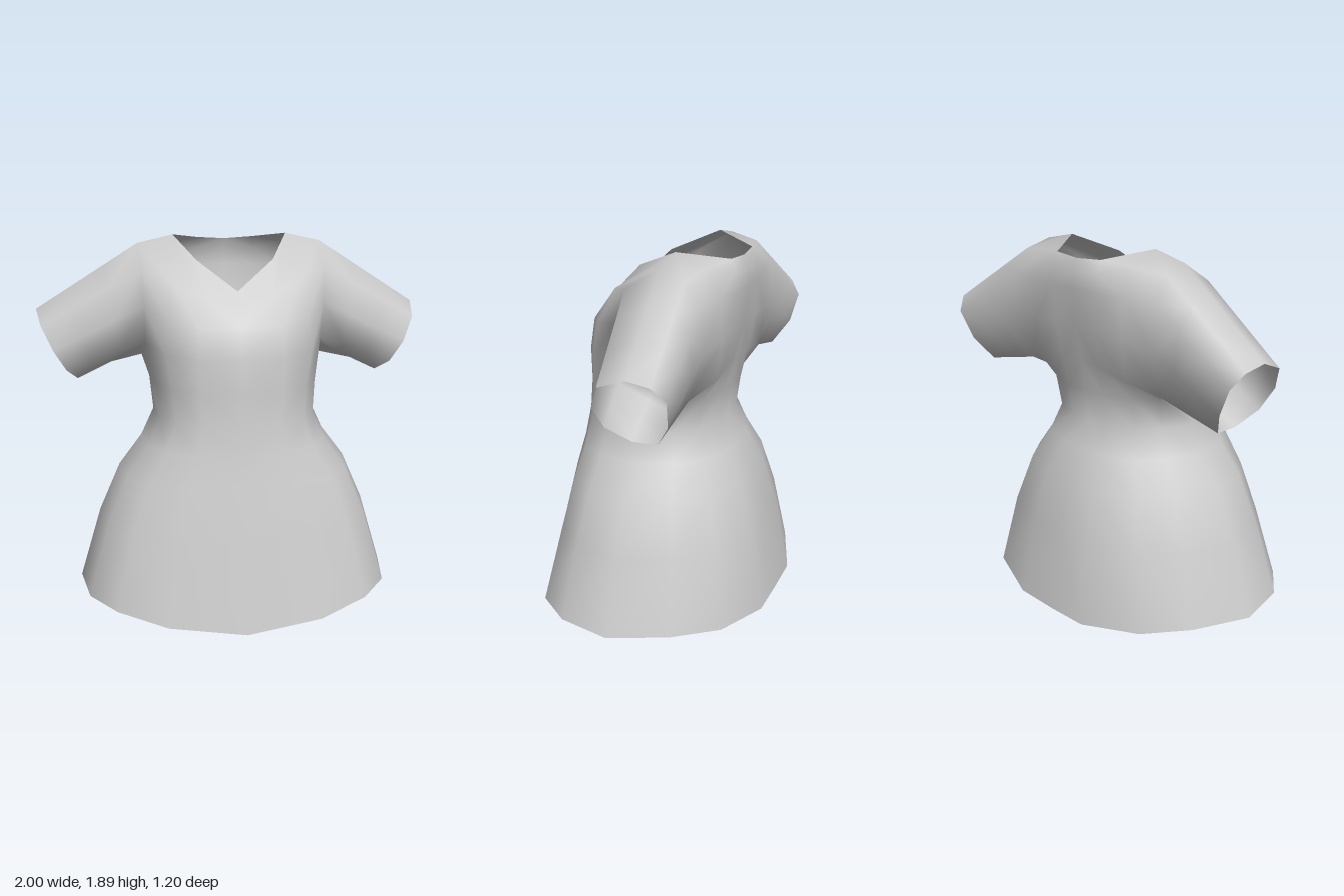
import * as THREE from 'three';
import { mergeVertices } from 'three/addons/utils/BufferGeometryUtils.js';

// Skins neighbouring rows of points into triangles
function loft(rows, out, closed = false) {
  for (let i = 0; i < rows.length - 1; i++) {
    const n = rows[i].length;
    for (let j = 0; j < (closed ? n : n - 1); j++) {
      const k = (j + 1) % n;
      const [a, b, c, d] = [rows[i][j], rows[i][k], rows[i + 1][k], rows[i + 1][j]];
      out.push([a, b, c], [a, c, d]);
    }
  }
}

const mix = (a, b, t) => a.map((v, i) => v + (b[i] - v) * t);

export function createModel() {
  const fabric = new THREE.MeshStandardMaterial({ color: 0xcccccc, side: THREE.DoubleSide });
  fabric.name = 'greyFabric';
  const tris = [];

  // Skirt and waist: half rings running from front centre round the left side to back centre
  const px = [0, 0.47, 0.77, 0.94, 1, 0.85, 0.65, 0.28, 0];
  const pz = [1, 0.925, 0.75, 0.45, 0, 0.48, 0.82, 1, 1];
  const hemY = [0, 0.04, 0.09, 0.095, 0.09, 0.095, 0.09, 0.055, 0.05];
  const levels = [ // y, half width, front z, back z, side z
    [0, 0.825, 0.6, -0.6, 0],
    [0.47, 0.71, 0.51, -0.525, 0],
    [0.72, 0.6, 0.46, -0.45, 0],
    [0.88, 0.48, 0.43, -0.37, 0],
    [1.02, 0.415, 0.41, -0.31, 0],
    [1.18, 0.43, 0.395, -0.33, -0.05],
  ];
  const body = levels.map(([y, w, zf, zb, zs], i) => px.map((p, j) => [
    p * w,
    i === 0 ? hemY[j] : y,
    zs + pz[j] * ((j <= 4 ? zf : zb) - zs),
  ]));
  const chest = [
    [0, 1.35, 0.38], [0.21, 1.35, 0.36], [0.36, 1.36, 0.27], [0.45, 1.38, 0.05], [0.46, 1.32, -0.12],
    [0.46, 1.24, -0.28], [0.3, 1.3, -0.36], [0.13, 1.33, -0.36], [0, 1.33, -0.35],
  ];
  loft([...body, chest], tris);

  // Front and back panels up to the neckline and shoulder
  const neck = [0.29, 1.89, -0.14], shoulder = [0.47, 1.85, -0.14];
  const front = [
    chest.slice(0, 4),
    [[0, 1.5, 0.34], [0.2, 1.5, 0.34], [0.34, 1.52, 0.25], [0.45, 1.57, 0.1]],
    [[0, 1.58, 0.27], [0.17, 1.64, 0.24], [0.32, 1.7, 0.16], [0.46, 1.74, 0.04]],
    [[0, 1.65, 0.2], [0.19, 1.79, 0.09], neck, shoulder],
  ];
  const back = [
    chest.slice(5),
    [[0.48, 1.48, -0.36], [0.3, 1.5, -0.38], [0.14, 1.52, -0.39], [0, 1.52, -0.385]],
    [[0.49, 1.7, -0.35], [0.32, 1.7, -0.38], [0.15, 1.7, -0.4], [0, 1.7, -0.405]],
    [[0.49, 1.81, -0.27], [0.3, 1.83, -0.3], [0.15, 1.79, -0.385], [0, 1.78, -0.395]],
    [shoulder, neck, [0.15, 1.85, -0.36], [0, 1.84, -0.37]],
  ];
  loft(front, tris);
  loft(back, tris);

  // Sleeve from the armhole to the open cuff
  const armhole = [
    shoulder, front[2][3], front[1][3], chest[3], chest[4],
    chest[5], back[1][0], back[2][0], back[3][0],
  ];
  const cuff = [
    [1, 1.51, -0.22], [0.97, 1.45, -0.07], [0.91, 1.33, -0.01], [0.85, 1.22, -0.04], [0.8, 1.15, -0.15],
    [0.81, 1.16, -0.28], [0.88, 1.28, -0.36], [0.95, 1.42, -0.385], [0.99, 1.49, -0.33],
  ];
  const sleeve = [0, 0.33, 0.67, 1].map(t => armhole.map((p, i) => mix(p, cuff[i], t)));
  loft(sleeve, tris, true);

  // Mirror the left half and weld both into one smooth cloth
  const flip = ([x, y, z]) => [-x, y, z];
  const mirrored = tris.map(([a, b, c]) => [flip(a), flip(c), flip(b)]);
  const flat = new THREE.BufferGeometry();
  flat.setAttribute('position', new THREE.Float32BufferAttribute([...tris, ...mirrored].flat(2), 3));
  const geometry = mergeVertices(flat, 1e-4);
  geometry.computeVertexNormals();

  const dress = new THREE.Mesh(geometry, fabric);
  dress.name = 'shortSleevedDress';
  const group = new THREE.Group();
  group.name = 'dress';
  group.add(dress);
  return group;
}
